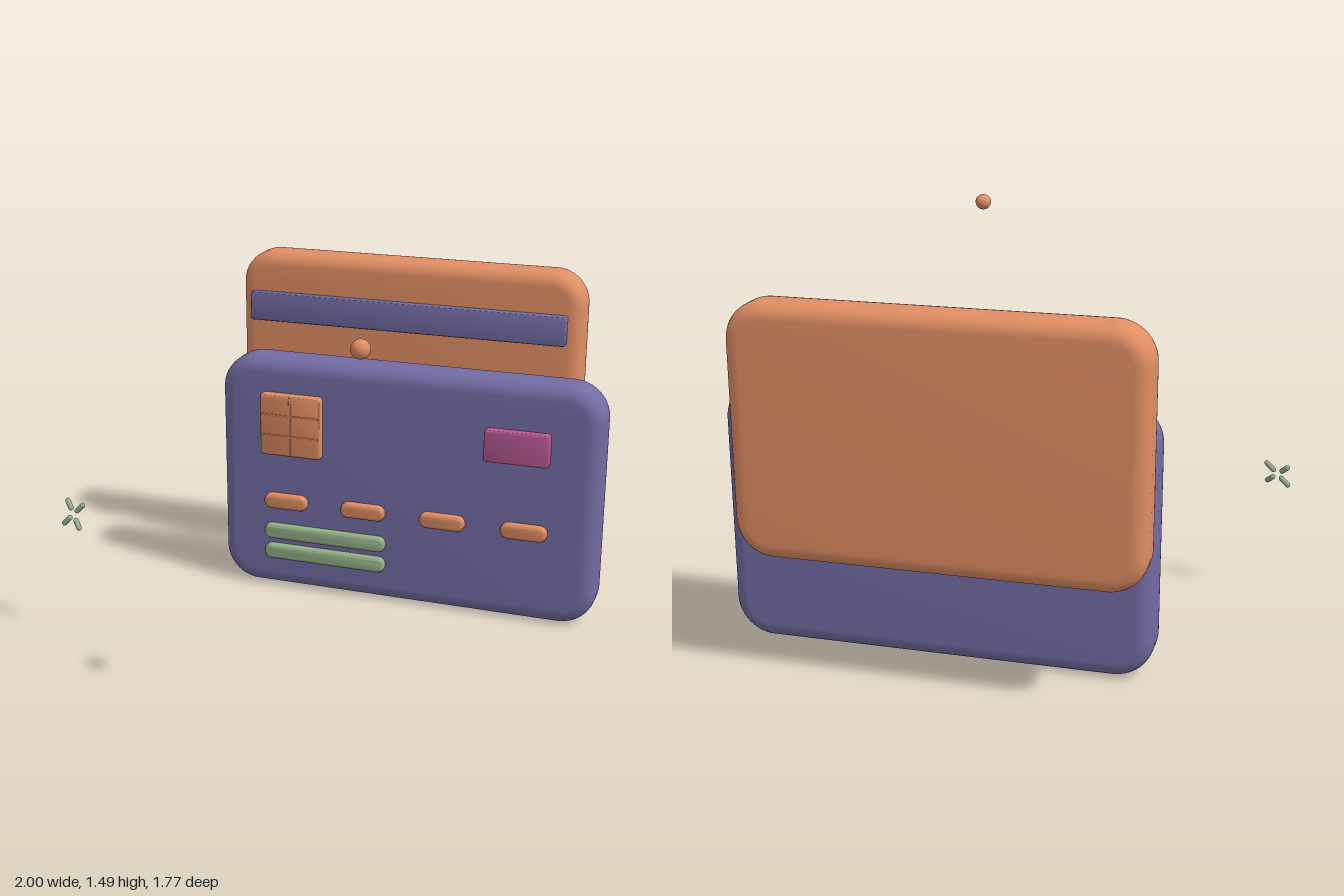
import * as THREE from 'three';
import { toCreasedNormals } from 'three/addons/utils/BufferGeometryUtils.js';

const paint = (color) => new THREE.MeshStandardMaterial({ color });
const orange = paint(0xe08e64);
const purple = paint(0x736ca3);
const green = paint(0x96b088);
const pink = paint(0xb4588f);

// Rounded rectangle outline centred on the origin
function roundedRect(w, h, r) {
  const s = new THREE.Shape();
  const x = w / 2, y = h / 2;
  s.absarc(x - r, y - r, r, 0, Math.PI / 2);
  s.absarc(-x + r, y - r, r, Math.PI / 2, Math.PI);
  s.absarc(-x + r, -y + r, r, Math.PI, Math.PI * 1.5);
  s.absarc(x - r, -y + r, r, Math.PI * 1.5, Math.PI * 2);
  s.closePath();
  return s;
}

// Slab with rounded corners (radius) and softened rims (bevel), given by its extents
function slab(name, material, [x0, x1], [y0, y1], [z0, z1], radius, bevel) {
  const w = x1 - x0, h = y1 - y0, d = z1 - z0;
  const shape = roundedRect(w - 2 * bevel, h - 2 * bevel, radius - bevel);
  const geo = new THREE.ExtrudeGeometry(shape, {
    depth: d - 2 * bevel,
    bevelThickness: bevel,
    bevelSize: bevel,
    bevelSegments: 6,
    curveSegments: 10,
  });
  geo.translate(0, 0, -(d - 2 * bevel) / 2);
  const mesh = new THREE.Mesh(toCreasedNormals(geo, 0.6), material);
  mesh.position.set((x0 + x1) / 2, (y0 + y1) / 2, (z0 + z1) / 2);
  mesh.name = name;
  return mesh;
}

export function createModel() {
  const model = new THREE.Group();
  model.name = 'paymentCards';

  // Rear card with its magnetic stripe
  const backCard = new THREE.Group();
  backCard.name = 'backCard';
  backCard.add(
    slab('backCardBody', orange, [-0.647, 0.836], [0.458, 1.388], [-0.889, -0.717], 0.14, 0.055),
    slab('magneticStripe', purple, [-0.597, 0.774], [1.095, 1.22], [-0.74, -0.688], 0.012, 0.008),
  );

  // Front card
  const frontCard = new THREE.Group();
  frontCard.name = 'frontCard';
  frontCard.add(
    slab('frontCardBody', purple, [-0.62, 0.997], [0, 1.014], [-0.588, -0.4], 0.15, 0.06),
    slab('badge', pink, [0.528, 0.794], [0.684, 0.82], [-0.43, -0.364], 0.014, 0.009),
  );

  // Chip with its contact lines
  const chip = new THREE.Group();
  chip.name = 'chip';
  chip.add(slab('chipBody', orange, [-0.43, -0.164], [0.605, 0.872], [-0.43, -0.366], 0.016, 0.01));
  const lineZ = [-0.375, -0.362];
  chip.add(slab('chipLine', orange, [-0.301, -0.293], [0.612, 0.865], lineZ, 0.003, 0.002));
  for (const y of [0.694, 0.783]) {
    chip.add(slab('chipLine', orange, [-0.423, -0.171], [y - 0.004, y + 0.004], lineZ, 0.003, 0.002));
  }
  frontCard.add(chip);

  // Number groups
  for (let i = 0; i < 4; i++) {
    const x = -0.42 + i * 0.342;
    frontCard.add(slab('numberGroup', orange, [x, x + 0.191], [0.362, 0.428], [-0.43, -0.372], 0.032, 0.014));
  }

  // Name lines
  for (const y of [0.224, 0.132]) {
    frontCard.add(slab('nameLine', green, [-0.42, 0.115], [y, y + 0.066], [-0.43, -0.372], 0.028, 0.014));
  }

  // Floating ball
  const ball = new THREE.Mesh(new THREE.SphereGeometry(0.033, 32, 20), orange);
  ball.name = 'floatingBall';
  ball.position.set(0.415, 1.455, 0.85);

  // Sparkle of four short rays, one diagonal tipped in depth
  const sparkle = new THREE.Group();
  sparkle.name = 'sparkle';
  sparkle.position.set(-0.948, 0.518, 0.318);
  const rayGeo = new THREE.CapsuleGeometry(0.0105, 0.036, 6, 14);
  const up = new THREE.Vector3(0, 1, 0);
  for (const offset of [[0.027, 0.027, 0], [-0.027, 0.027, -0.023]]) {
    for (const side of [1, -1]) {
      const ray = new THREE.Mesh(rayGeo, green);
      ray.name = 'sparkleRay';
      ray.position.set(...offset).multiplyScalar(side * 1.1);
      ray.quaternion.setFromUnitVectors(up, new THREE.Vector3(...offset).normalize());
      sparkle.add(ray);
    }
  }

  model.add(backCard, frontCard, ball, sparkle);
  return model;
}
